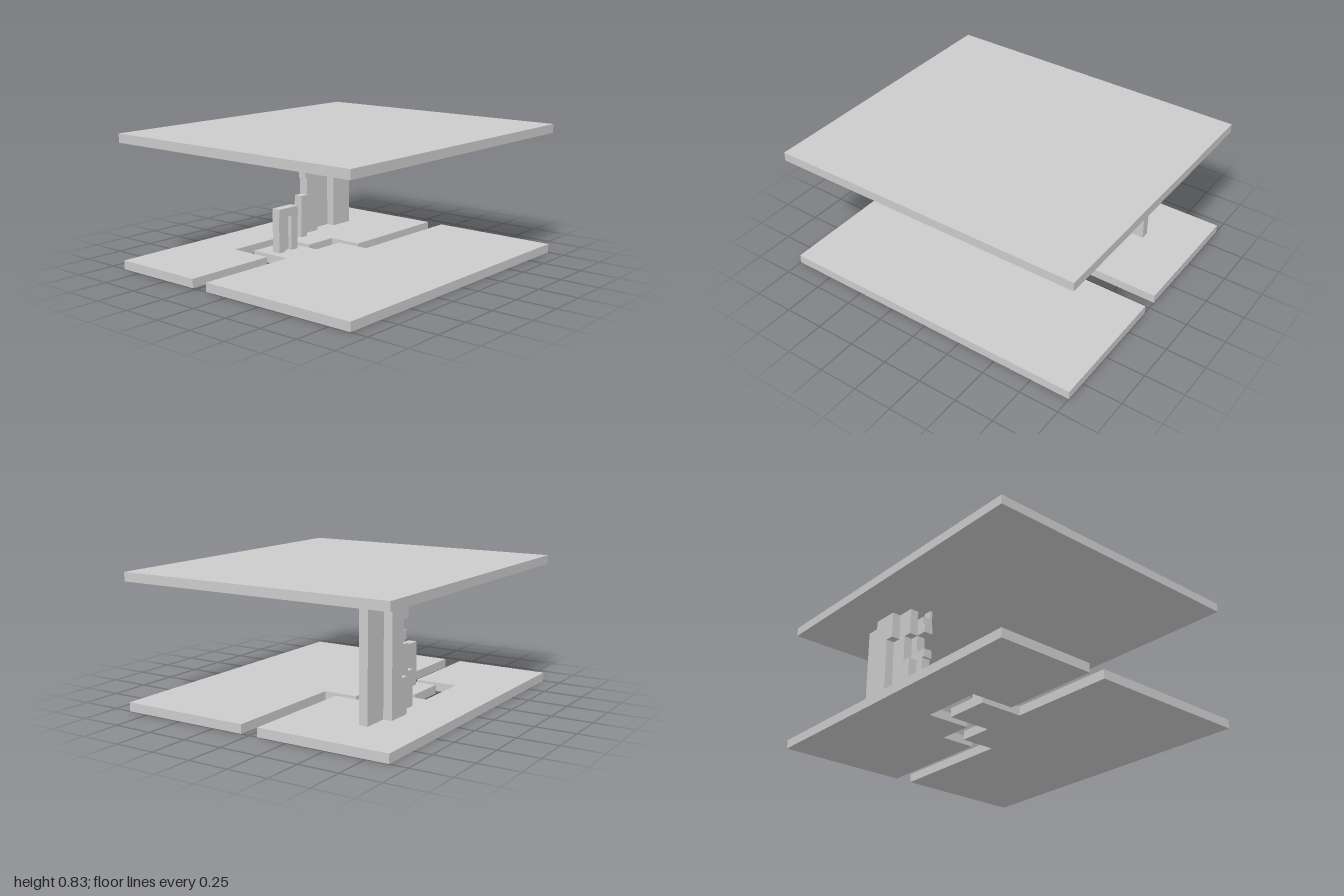
import * as THREE from 'three';

const U = 1 / 18; // one grid cell
const material = new THREE.MeshStandardMaterial({ color: 0xcccccc, flatShading: true });

function box(name, x0, x1, y0, y1, z0, z1) {
  const geometry = new THREE.BoxGeometry((x1 - x0) * U, (y1 - y0) * U, (z1 - z0) * U);
  const mesh = new THREE.Mesh(geometry, material);
  mesh.position.set((x0 + x1) * U / 2, (y0 + y1) * U / 2, (z0 + z1) * U / 2);
  mesh.name = name;
  return mesh;
}

// one-cell-thick plate from an outline of [x, z] cells
function plate(name, outline) {
  const shape = new THREE.Shape(outline.map(([x, z]) => new THREE.Vector2(x * U, -z * U)));
  const geometry = new THREE.ExtrudeGeometry(shape, { depth: U, bevelEnabled: false });
  geometry.rotateX(-Math.PI / 2);
  const mesh = new THREE.Mesh(geometry, material);
  mesh.name = name;
  return mesh;
}

// wall section stacked from rows of [y0, y1, back z, front z, optional x0, optional x1]
function stackedWall(name, x0, x1, rows) {
  const group = new THREE.Group();
  group.name = name;
  for (const [y0, y1, z0, z1, left = x0, right = x1] of rows) {
    group.add(box(name + 'Block', left, right, y0, y1, z0, z1));
  }
  return group;
}

export function createModel() {
  const model = new THREE.Group();
  model.name = 'twoLevelStructure';

  // floor, split by a winding channel
  model.add(plate('floorLeft', [
    [16, -18], [1, -18], [1, -3], [-3, -3], [-3, 1], [-8, 1],
    [-8, 6], [-3, 6], [-3, 18], [16, 18],
  ]));
  model.add(plate('floorRight', [
    [-16, -18], [-16, 18], [-5, 18], [-5, 7], [-10, 7], [-10, 0],
    [-5, 0], [-5, -4], [-1, -4], [-1, -18],
  ]));

  // ceiling slab
  model.add(box('ceiling', -16, 16, 14, 15, -18, 18));

  // stepped, curving wall between floor and ceiling
  const wall = new THREE.Group();
  wall.name = 'wall';
  wall.add(
    stackedWall('wallBack', -10, -9, [[1, 14, -12, -9]]),
    stackedWall('wallOuter', -11, -10, [[1, 5, -9, -6], [5, 11, -9, -7], [11, 14, -9, -6]]),
    stackedWall('wallMiddle', -10, -9, [
      [1, 5, -6, -3], [5, 8, -7, -4], [8, 11, -7, -5], [11, 14, -6, -4],
    ]),
    stackedWall('wallFront', -9, -8, [
      [1, 5, -3, -2],
      [5, 6, -4, -2, -9, -7.95],
      [6, 8, -4, -3],
      [8, 9, -5, -2.7, -9, -7.95],
      [9, 11, -5, -4],
      [11, 12, -5, -2.7, -9, -7.95],
      [12, 13, -4, -3, -9, -7.8],
      [13, 14, -4, -3, -8.1, -7.8],
    ]),
  );
  model.add(wall);

  // low post with a recessed niche under a lintel
  const post = new THREE.Group();
  post.name = 'post';
  for (const z of [2, 4]) post.add(box('postJamb', -6, -5, 1, 5, z, z + 1));
  post.add(box('postNicheBack', -6, -5.5, 1, 5, 3, 4));
  post.add(box('postLintel', -6, -4.92, 5, 6, 2, 5));
  model.add(post);

  return model;
}
